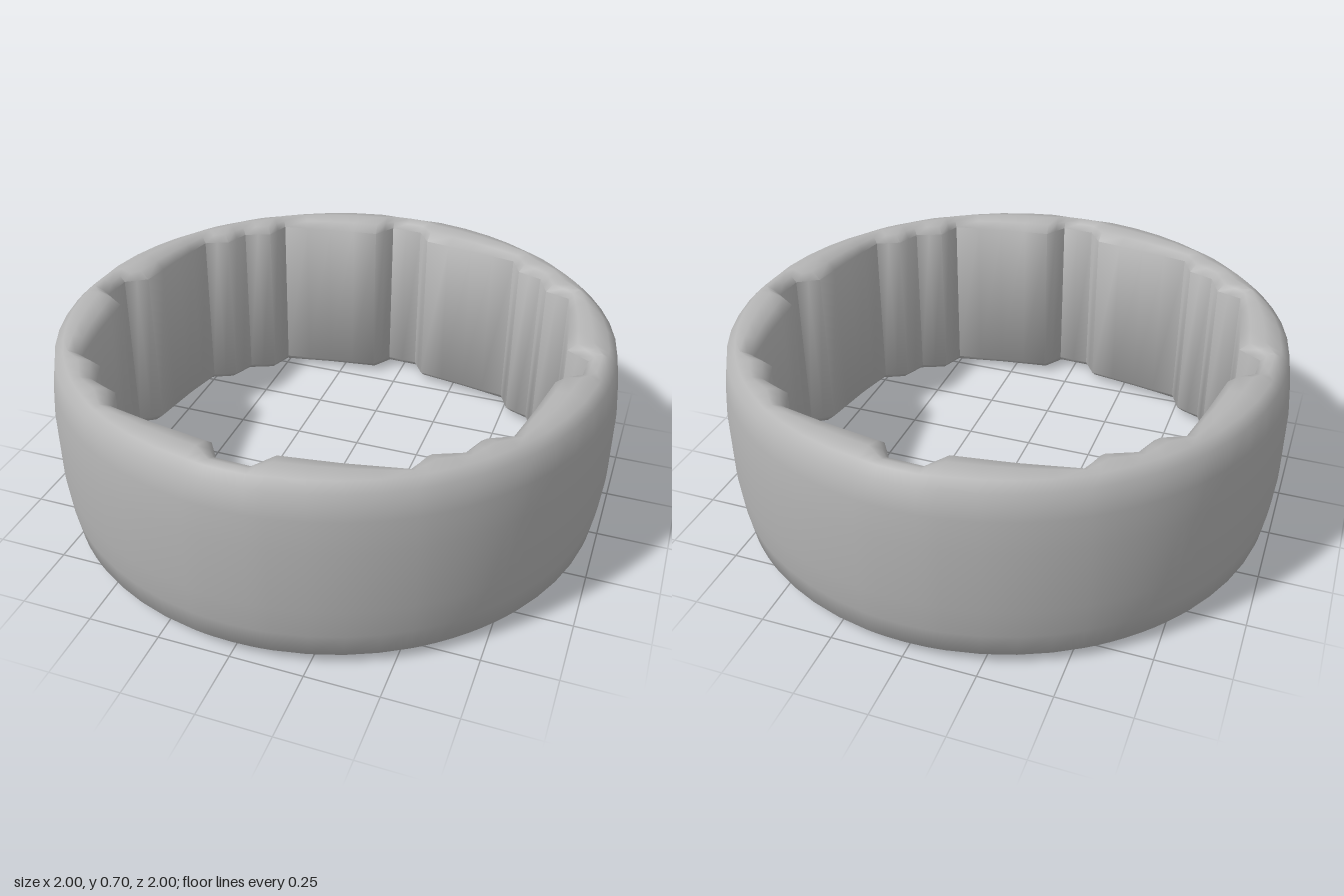
import * as THREE from 'three';
import { toCreasedNormals } from 'three/addons/utils/BufferGeometryUtils.js';

// One quarter of the notched bore, as [x, z] from the front towards +x
const QUARTER = [
  [0.06, 0.88], [0.11, 0.80], [0.30, 0.775], [0.49, 0.74], [0.52, 0.65], [0.615, 0.61],
  [0.65, 0.52], [0.735, 0.48], [0.77, 0.30], [0.80, 0.11], [0.875, 0.06],
];
const HEIGHT = 0.705;

// Whole bore outline, each side split in two
function boreOutline() {
  const corners = [];
  for (let q = 0; q < 4; q++) {
    for (const [x, z] of QUARTER) {
      let p = [x, z];
      for (let k = 0; k < q; k++) p = [p[1], -p[0]];
      corners.push(p);
    }
  }
  const points = [];
  corners.forEach((p, i) => {
    const n = corners[(i + 1) % corners.length];
    points.push(p, [(p[0] + n[0]) / 2, (p[1] + n[1]) / 2]);
  });
  return points;
}

// Closed cross-section [radius, y] for a given bore radius, anticlockwise
function crossSection(bore) {
  const dip = Math.max(0, bore - 0.81) * 0.1;
  const at = (t) => bore + (0.97 - bore) * t;
  const lower = [
    [bore, 0.04], [at(0.2), 0.012 + dip], [at(0.5), dip], [0.945, 0.012 + dip * 0.5],
    [0.975, 0.04], [0.99, 0.13], [1, 0.24],
  ];
  const upper = lower.map(([r, y]) => [r, HEIGHT - y]).reverse();
  return [...lower, ...upper];
}

function ringGeometry() {
  const positions = [];
  const index = [];
  const outline = boreOutline();
  const columns = outline.length;
  let rows = 0;
  for (const [x, z] of outline) {
    const bore = Math.hypot(x, z);
    const section = crossSection(bore);
    rows = section.length;
    for (const [r, y] of section) positions.push((x / bore) * r, y, (z / bore) * r);
  }
  for (let i = 0; i < columns; i++) {
    for (let j = 0; j < rows; j++) {
      const i2 = (i + 1) % columns;
      const j2 = (j + 1) % rows;
      const a = i * rows + j, b = i2 * rows + j, c = i2 * rows + j2, d = i * rows + j2;
      index.push(a, b, c, a, c, d);
    }
  }
  const geometry = new THREE.BufferGeometry();
  geometry.setAttribute('position', new THREE.Float32BufferAttribute(positions, 3));
  geometry.setIndex(index);
  return toCreasedNormals(geometry, 0.95);
}

export function createModel() {
  const group = new THREE.Group();
  group.name = 'notchedRing';
  const grey = new THREE.MeshStandardMaterial({ color: 0xb4b4b4 });
  grey.name = 'grey';
  // Rounded band with a notched bore
  const band = new THREE.Mesh(ringGeometry(), grey);
  band.name = 'band';
  group.add(band);
  return group;
}
